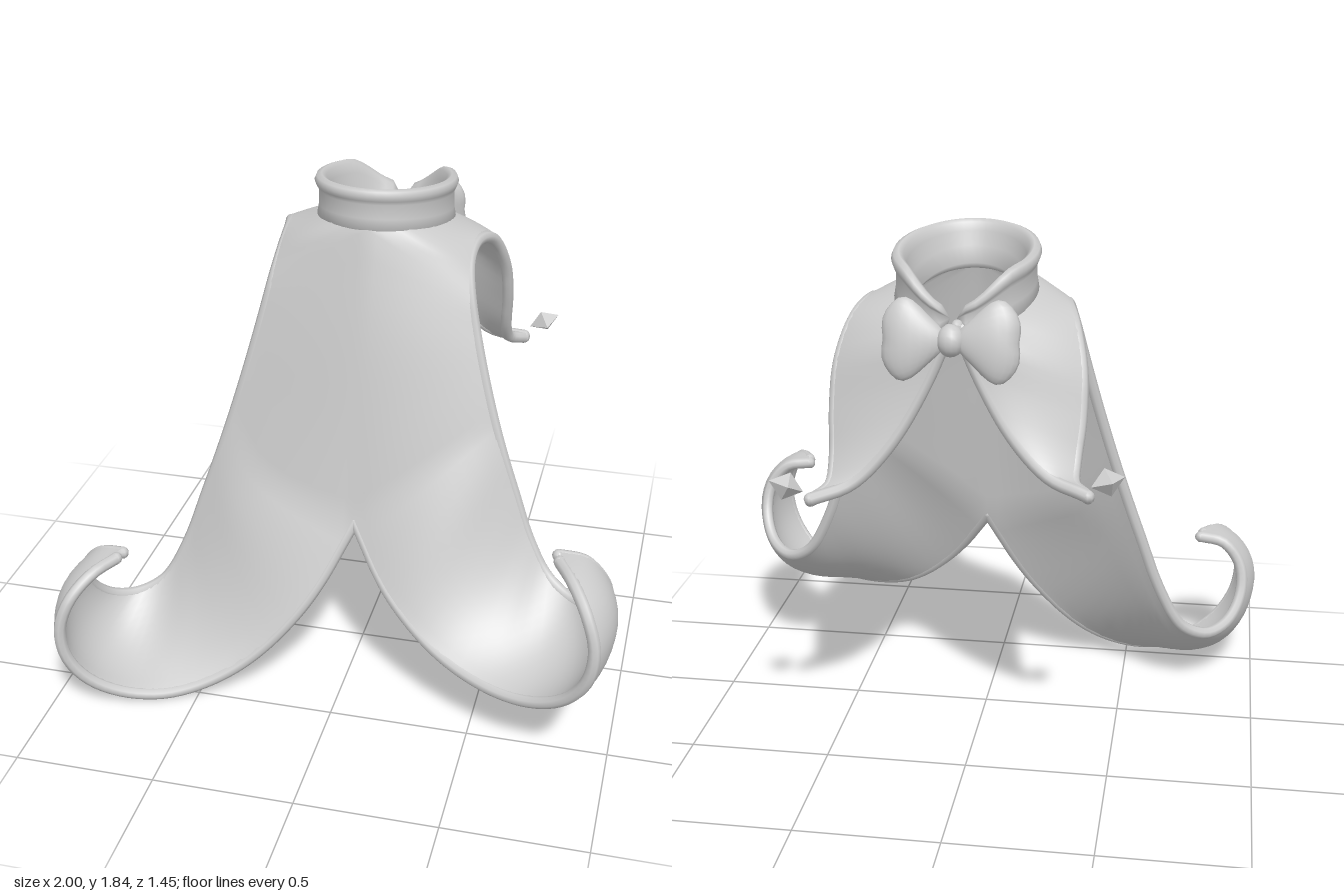
import * as THREE from 'three';
import { mergeGeometries, mergeVertices } from 'three/addons/utils/BufferGeometryUtils.js';

const V = (x, y, z) => new THREE.Vector3(x, y, z);
const smooth = THREE.MathUtils.smoothstep;

// Surface from a rule f(u, v), with u and v from 0 to 1
function grid(f, nu, nv) {
  const pos = [], idx = [];
  for (let i = 0; i <= nu; i++) {
    for (let j = 0; j <= nv; j++) {
      pos.push(...f(i / nu, j / nv).toArray());
      if (i < nu && j < nv) {
        const a = i * (nv + 1) + j, b = a + nv + 1;
        idx.push(a, b, a + 1, b, b + 1, a + 1);
      }
    }
  }
  const g = new THREE.BufferGeometry();
  g.setAttribute('position', new THREE.Float32BufferAttribute(pos, 3));
  g.setIndex(idx);
  return g;
}

// Oval where the collar meets the cloth; angle 0 is the front
const neck = (a, r = 0) =>
  V(0.03 + (0.222 + r) * Math.sin(a), 1.635 + 0.055 * Math.cos(a), -0.235 + (0.282 + r) * Math.cos(a));

// Edges of one half of the cape, from front tail tip over the shoulder to back tip
const outerPts = [
  [0.78, 0.755, 0.45], [0.87, 0.74, 0.44], [0.935, 0.66, 0.425], [0.945, 0.56, 0.385], [0.9, 0.47, 0.31],
  [0.82, 0.443, 0.24], [0.72, 0.495, 0.19], [0.64, 0.63, 0.16], [0.58, 0.79, 0.14], [0.53, 0.93, 0.125],
  [0.49, 1.05, 0.105], [0.445, 1.2, 0.075], [0.405, 1.35, 0.04], [0.375, 1.48, 0], [0.36, 1.56, -0.06],
  [0.365, 1.595, -0.17], [0.4, 1.56, -0.3], [0.435, 1.43, -0.4], [0.44, 1.28, -0.46], [0.43, 1.14, -0.52],
  [0.435, 1.055, -0.585], [0.485, 1.025, -0.65],
].map(p => V(...p));
const innerPts = [
  ...[
    [0.79, 0.755, 0.49], [0.845, 0.74, 0.58], [0.905, 0.67, 0.66], [0.94, 0.56, 0.69], [0.925, 0.44, 0.69],
    [0.855, 0.33, 0.66], [0.73, 0.255, 0.605], [0.57, 0.24, 0.54], [0.37, 0.295, 0.45], [0.18, 0.45, 0.36],
    [0.03, 0.66, 0.245], [0.03, 1.0, 0.185], [0.03, 1.35, 0.122],
  ].map(p => V(...p)),
  neck(0), neck(0.55), neck(1.3), neck(2.0), neck(3.08),
  ...[[0.12, 1.4, -0.53], [0.235, 1.2, -0.565], [0.36, 1.07, -0.605], [0.485, 1.03, -0.655]].map(p => V(...p)),
];
const LAST = outerPts.length - 1, NOTCH = 10, BACK = 17;

// Curve through the points, with sharp corners at the listed stations
function edge(points, breaks) {
  const parts = breaks.slice(1).map((b, k) => [breaks[k], b, new THREE.CatmullRomCurve3(points.slice(breaks[k], b + 1))]);
  return s => {
    const [a, b, curve] = parts.find(p => s <= p[1] + 1e-6);
    return curve.getPoint(THREE.MathUtils.clamp((s - a) / (b - a), 0, 1));
  };
}
const outer = edge(outerPts, [0, LAST]);
const inner = edge(innerPts, [0, NOTCH, 13, BACK, LAST]);

// The other half hangs lower in front and a little higher behind
function mirror(p) {
  const front = smooth(p.z, 0.02, 0.2);
  const shift = 0.06 * (1 - smooth(p.x, 0.1, 0.6) * front);
  const reach = THREE.MathUtils.clamp((p.x - 0.03) / 0.6, 0, 1);
  const drop = 0.225 * Math.sin(reach * Math.PI / 2) * front;
  return V(-p.x + shift, p.y - drop + 0.06 * smooth(-p.z, 0.45, 0.65), p.z);
}

// Point on the cape: s along the edges, v from inner to outer edge
function cape(s, v) {
  const i = inner(s), o = outer(s), p = i.clone().lerp(o, v);
  // Chest and back are rounded across
  p.z = THREE.MathUtils.lerp(p.z, i.z + (o.z - i.z) * v * v, smooth(s, 5, NOTCH));
  // Tails belly outward, away from the curl, most at the bottom
  const depth = 0.15 + 0.11 * smooth(s, 3, 6);
  const belly = depth * v * (1 - v) * smooth(s, 0.5, 3) * (1 - smooth(s, 7, NOTCH));
  if (belly > 0) {
    const along = outer(s + 0.2).add(inner(s + 0.2)).sub(outer(s - 0.2)).sub(inner(s - 0.2));
    p.addScaledVector(along.cross(o.sub(i)).normalize(), belly);
  }
  return p;
}

export function createModel() {
  const model = new THREE.Group();
  const cloth = new THREE.MeshStandardMaterial({ color: 0xcccccc, side: THREE.DoubleSide });
  cloth.name = 'pale grey cloth';
  const add = (name, geometry, parent = model) => {
    const m = new THREE.Mesh(geometry, cloth);
    m.name = name;
    parent.add(m);
    return m;
  };

  // Cape cloth, both halves joined at the centre front, with an outer and a lining face
  const half = grid((u, v) => cape(u * LAST, v), LAST * 4, 12);
  const otherHalf = grid((u, v) => mirror(cape(u * LAST, 1 - v)), LAST * 4, 12);
  const middle = mergeVertices(mergeGeometries([half, otherHalf]), 1e-4);
  middle.computeVertexNormals();
  for (const [name, offset] of [['capeFace', 0.019], ['capeLining', -0.019]]) {
    const g = middle.clone(), p = g.attributes.position, n = g.attributes.normal;
    for (let k = 0; k < p.count; k++) {
      p.setXYZ(k, p.getX(k) + offset * n.getX(k), p.getY(k) + offset * n.getY(k), p.getZ(k) + offset * n.getZ(k));
    }
    g.computeVertexNormals();
    add(name, g);
  }

  // Rolled hems along the free edges
  const hem = (name, f, from, to) => {
    const n = Math.round((to - from) * 3), pts = [];
    for (let k = 0; k <= n; k++) pts.push(f(from + (to - from) * k / n));
    add(name, new THREE.TubeGeometry(new THREE.CatmullRomCurve3(pts), n * 2, 0.022, 8));
    // Rounded ends
    for (const p of [pts[0], pts[n]]) add(name + 'End', new THREE.SphereGeometry(0.022, 8, 6)).position.copy(p);
  };
  for (const [side, f] of [['left', p => p], ['right', mirror]]) {
    hem(side + 'OuterHem', s => f(outer(s)), 0, LAST);
    hem(side + 'TailHem', s => f(inner(s)), 0, NOTCH);
    hem(side + 'BackHem', s => f(inner(s)), BACK, LAST);
  }

  // Standing collar with a rolled top, slit at the back: [radial offset, height]
  const profile = [
    [-0.01, -0.15], [0.02, 0.05], [0.013, 0.3], [0.012, 0.65], [0.02, 0.75], [0.027, 0.87], [0.02, 0.98],
    [0.002, 1.02], [-0.014, 0.95], [-0.024, 0.75], [-0.037, 0.4], [-0.056, 0], [-0.035, -0.15], [-0.01, -0.15],
  ];
  const cols = 48, rows = profile.length - 1;
  const collar = mergeVertices(grid((u, v) => {
    const a = (u * 2 - 1) * (Math.PI - 0.05);
    const [r, h] = u === 0 || u === 1 ? [-0.01, 0.5] : profile[Math.round(v * rows)];
    const p = neck(a, r);
    const top = 1.795 + 0.038 * Math.cos(a) - 0.1 * smooth(Math.abs(a), 2.2, 3.1);
    p.y += (top - p.y) * h;
    return p;
  }, cols, rows), 1e-4);
  collar.computeVertexNormals();
  add('collar', collar);

  // Bow at the back of the neck
  const bow = new THREE.Group();
  bow.name = 'bow';
  bow.position.set(0.03, 1.56, -0.565);
  bow.rotation.x = 0.2;
  model.add(bow);
  add('knot', new THREE.SphereGeometry(0.046, 14, 10), bow).scale.y = 1.15;
  for (const side of [1, -1]) {
    const g = new THREE.SphereGeometry(1, 20, 14), p = g.attributes.position;
    for (let k = 0; k < p.count; k++) {
      const x = p.getX(k), spread = 0.5 + 0.5 * smooth(x, -0.9, 0.5);
      // Loops widen outward and are slightly dented at the end
      const dent = 0.015 * (1 - Math.min(1, Math.abs(p.getY(k)) * 2)) * smooth(x, 0.3, 1);
      p.setXYZ(k, 0.125 + 0.11 * x - dent, 0.145 * p.getY(k) * spread, 0.047 * p.getZ(k) * (0.6 + 0.4 * spread));
    }
    g.computeVertexNormals();
    const loop = add('bowLoop', g, bow);
    if (side < 0) loop.rotation.y = Math.PI;
  }

  // Faceted beads floating by the back tips
  for (const [x, y, turn] of [[0.555, 1.085, 0.3], [-0.49, 1.155, -0.3]]) {
    const bead = add('bead', new THREE.OctahedronGeometry(0.047));
    bead.position.set(x, y, -0.69);
    bead.rotation.set(0.25, 0.4, turn);
    bead.scale.set(1.25, 1, 1);
  }
  return model;
}
